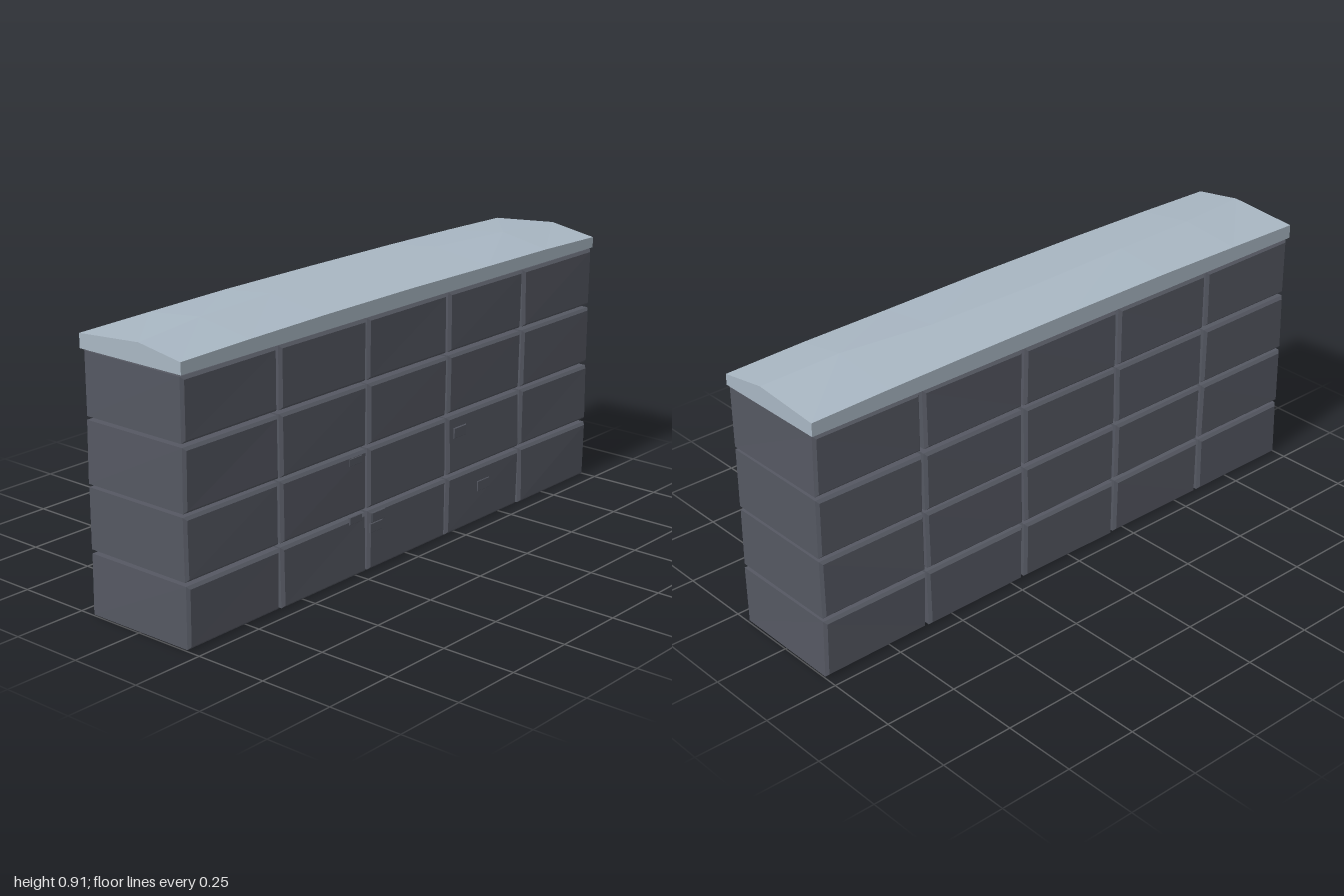
import * as THREE from 'three';

const stone = new THREE.MeshStandardMaterial({ color: 0x555862 });
stone.name = 'dark stone';
const slab = new THREE.MeshStandardMaterial({ color: 0xa9b7c3 });
slab.name = 'pale capstone';

let seed = 7;
const random = () => (seed = (seed * 16807) % 2147483647) / 2147483647;

// Box with chamfered edges, each corner nudged a little so blocks look hand cut
function block(w, h, d, bevel, wobble) {
  const x = w / 2 - bevel, y = h / 2 - bevel;
  const shape = new THREE.Shape([
    new THREE.Vector2(-x, -y), new THREE.Vector2(x, -y),
    new THREE.Vector2(x, y), new THREE.Vector2(-x, y),
  ]);
  const geo = new THREE.ExtrudeGeometry(shape, {
    depth: d - 2 * bevel, bevelEnabled: true, bevelSegments: 1,
    bevelSize: bevel, bevelThickness: bevel,
  });
  geo.translate(0, 0, bevel - d / 2);
  const nudges = Array.from({ length: 24 }, () => (random() - 0.5) * wobble);
  const p = geo.attributes.position;
  for (let i = 0; i < p.count; i++) {
    const c = 3 * ((p.getX(i) > 0) + 2 * (p.getY(i) > 0) + 4 * (p.getZ(i) > 0));
    p.setXYZ(i, p.getX(i) + nudges[c], p.getY(i) + nudges[c + 1] * 0.5, p.getZ(i) + nudges[c + 2]);
  }
  geo.computeVertexNormals();
  return geo;
}

// Capstone swept along x through cross-sections with a wandering ridge
function capstone() {
  // x, front edge y, ridge y, ridge z, back edge y
  const sections = [
    [-1, 0.874, 0.9, 0.04, 0.882], [-0.72, 0.88, 0.91, 0.005, 0.887],
    [-0.4, 0.884, 0.915, -0.01, 0.892], [0, 0.885, 0.913, -0.02, 0.892],
    [0.4, 0.881, 0.912, -0.013, 0.89], [0.72, 0.879, 0.912, 0.026, 0.886],
    [1, 0.872, 0.9, 0.035, 0.88],
  ];
  const rings = sections.map(([x, f, r, rz, b]) => [
    [x, 0.836, 0.207], [x, f, 0.207], [x, r, rz], [x, b, -0.207], [x, 0.836, -0.207],
  ]);
  const v = [];
  const tri = (a, b, c) => v.push(...a, ...b, ...c);
  for (let i = 0; i < rings.length - 1; i++) {
    const A = rings[i], B = rings[i + 1];
    for (let j = 0; j < 5; j++) {
      const k = (j + 1) % 5;
      tri(A[j], B[j], B[k]);
      tri(A[j], B[k], A[k]);
    }
  }
  const L = rings[0], R = rings[rings.length - 1];
  for (let j = 1; j < 4; j++) {
    tri(L[0], L[j], L[j + 1]);
    tri(R[0], R[j + 1], R[j]);
  }
  const geo = new THREE.BufferGeometry();
  geo.setAttribute('position', new THREE.Float32BufferAttribute(v, 3));
  geo.computeVertexNormals();
  return geo;
}

export function createModel() {
  const wall = new THREE.Group();
  wall.name = 'stoneWall';
  const add = (name, geo, mat, x = 0, y = 0, z = 0) => {
    const mesh = new THREE.Mesh(geo, mat);
    mesh.name = name;
    mesh.position.set(x, y, z);
    wall.add(mesh);
  };

  // Four courses of five blocks, with open joints
  for (let row = 0; row < 4; row++) {
    for (let col = 0; col < 5; col++) {
      add(`block_${row + 1}_${col + 1}`, block(0.39, 0.198, 0.41, 0.009, 0.004), stone,
        -0.8 + col * 0.4, 0.101 + row * 0.21, 0);
    }
  }

  // Small raised chips on the front
  const chips = [
    [0.265, 0.35, 0.065, 0.036], [0.397, 0.13, 0.065, 0.036], [-0.15, 0.177, 0.065, 0.032],
    [-0.16, 0.143, 0.06, 0.032], [-0.26, 0.195, 0.06, 0.026], [-0.26, 0.388, 0.06, 0.026],
  ];
  for (const [x, y, w, h] of chips) add('stoneChip', block(w, h, 0.009, 0.002, 0), stone, x, y, 0.204);

  add('capstone', capstone(), slab);
  return wall;
}
